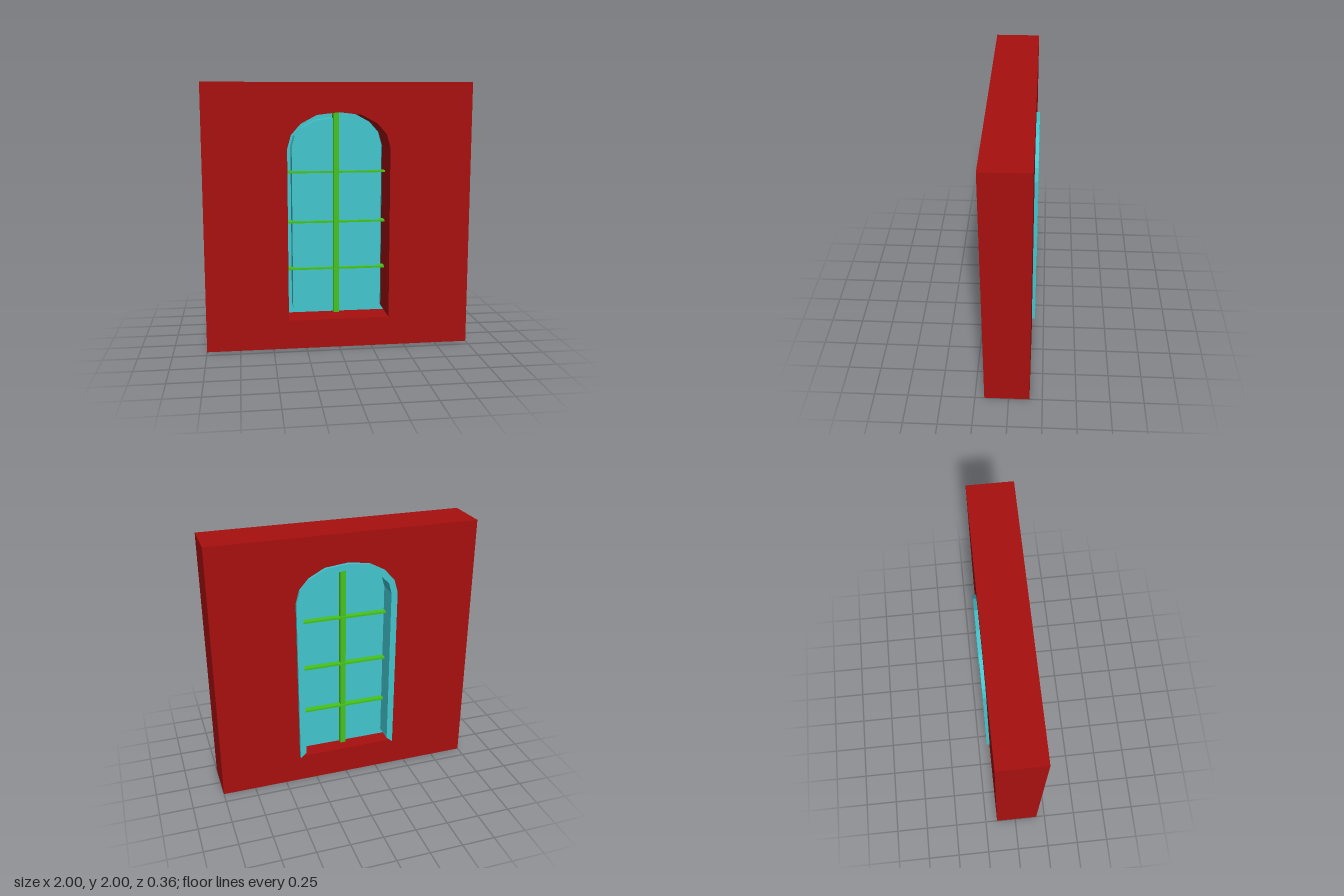
import * as THREE from 'three';

const FRONT = 0.18, BACK = -0.155;      // wall faces
const FRAME_BACK = -0.18, PANE_Z = -0.035;

const material = (color, side = THREE.FrontSide) =>
  new THREE.MeshStandardMaterial({ color, side, flatShading: true });

// Half outline (from the bottom up to the crown) mirrored into a full arch
const arch = (half) => [
  ...half,
  ...half.slice(0, -1).reverse().map(([x, y]) => [-x, y]),
];

const OUTER = arch([[-0.383, 0.22], [-0.383, 1.52], [-0.355, 1.62], [-0.284, 1.70], [-0.165, 1.764], [0, 1.783]]);
// The inner outline flares out to the outer corners at the sill
const INNER = arch([[-0.383, 0.22], [-0.335, 0.262], [-0.335, 1.52], [-0.312, 1.60], [-0.252, 1.66], [-0.15, 1.716], [0, 1.738]]);

const toShape = (points) => new THREE.Shape(points.map(([x, y]) => new THREE.Vector2(x, y)));

// Open band that follows an outline from depth z0 to depth z1
function band(points, z0, z1) {
  const position = [], index = [];
  points.forEach(([x, y], i) => {
    position.push(x, y, z0, x, y, z1);
    if (i) {
      const a = 2 * i - 2;
      index.push(a, a + 1, a + 2, a + 1, a + 3, a + 2);
    }
  });
  const geometry = new THREE.BufferGeometry();
  geometry.setAttribute('position', new THREE.Float32BufferAttribute(position, 3));
  geometry.setIndex(index);
  geometry.computeVertexNormals();
  return geometry;
}

export function createModel() {
  const model = new THREE.Group();
  const red = material(0xa80f0f);
  const teal = material(0x42c6ce, THREE.DoubleSide);
  const green = material(0x46c41e);

  const add = (name, geometry, mat, parent = model) => {
    const mesh = new THREE.Mesh(geometry, mat);
    mesh.name = name;
    parent.add(mesh);
    return mesh;
  };

  // Wall with an arched opening
  const wall = toShape([[-1, 0], [1, 0], [1, 2], [-1, 2]]);
  wall.holes.push(new THREE.Path(toShape(OUTER).getPoints()));
  add('wall', new THREE.ExtrudeGeometry(wall, { depth: FRONT - BACK, bevelEnabled: false }), red)
    .position.z = BACK;

  // Hollow frame: back rim, outer lip and inner lining, without a bottom rail
  const frame = new THREE.Group();
  frame.name = 'windowFrame';
  model.add(frame);
  const rim = toShape([...OUTER, ...INNER.slice(1, -1).reverse()]);
  add('frameRim', new THREE.ShapeGeometry(rim), teal, frame).position.z = FRAME_BACK;
  add('frameLip', band(OUTER, FRAME_BACK, BACK), teal, frame);
  add('frameLining', band(INNER, FRAME_BACK, PANE_Z), teal, frame);

  // Pane
  add('pane', new THREE.ShapeGeometry(toShape(INNER)), teal).position.z = PANE_Z;

  // Glazing bars pass through the pane and show on both sides
  add('verticalBar', new THREE.BoxGeometry(0.042, 1.56, 0.07), green).position.set(0, 1.0, PANE_Z);
  for (const y of [0.572, 0.94, 1.326]) {
    add('horizontalBar', new THREE.BoxGeometry(0.765, 0.014, 0.068), green).position.set(0, y, -0.046);
  }

  return model;
}
